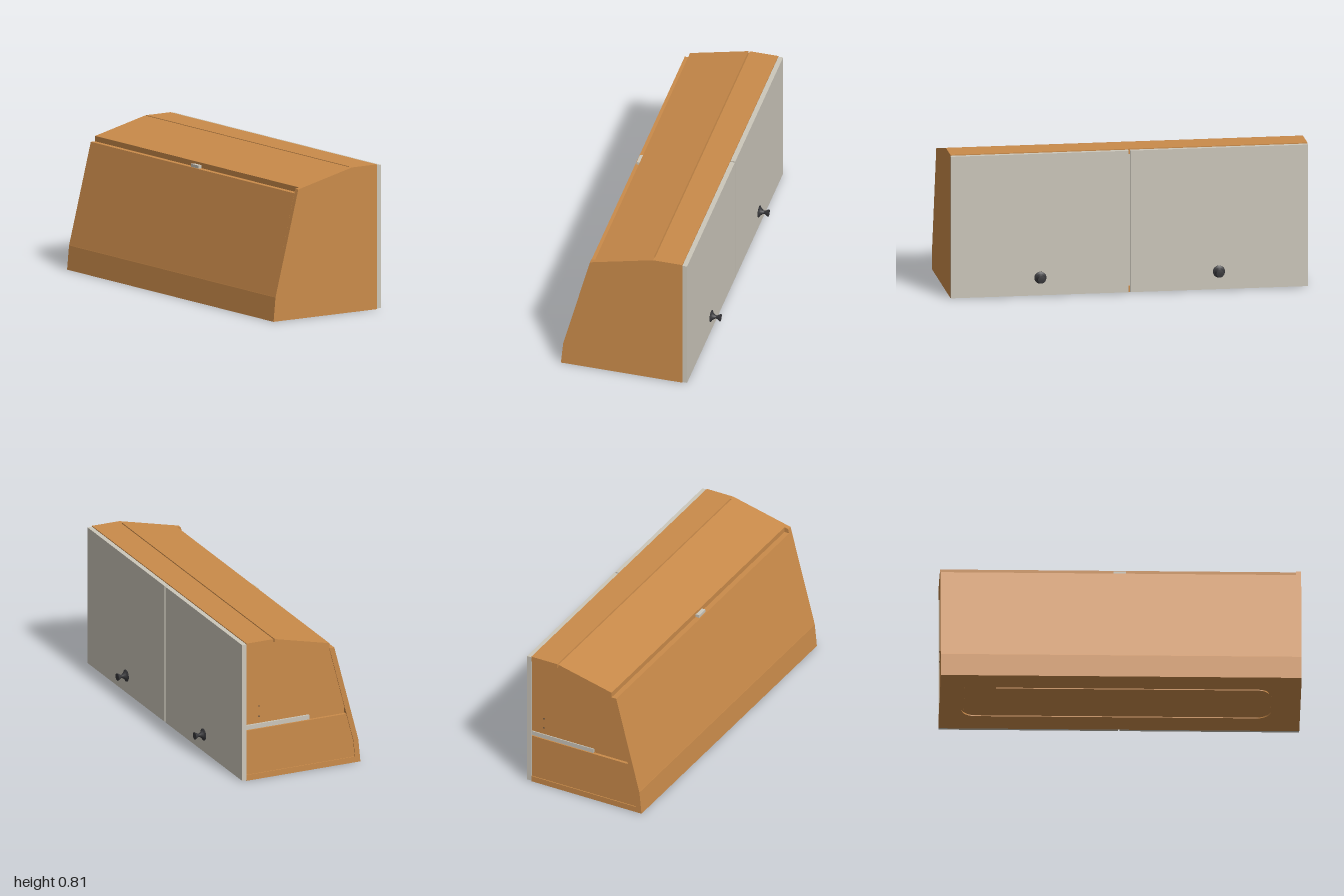
import * as THREE from 'three';

export function createModel() {
  const mat = (name, hex) => {
    const m = new THREE.MeshStandardMaterial({ color: hex });
    m.name = name;
    return m;
  };
  const wood = mat('wood', 0xca8b4a);
  const paint = mat('paintedBeige', 0xccc7bb);
  const iron = mat('darkIron', 0x37373a);

  const group = new THREE.Group();
  const add = (name, geo, material) => {
    const mesh = new THREE.Mesh(geo, material);
    mesh.name = name;
    group.add(mesh);
    return mesh;
  };
  const toShape = (pts) => new THREE.Shape(pts.map(([x, y]) => new THREE.Vector2(x, y)));
  // Cross-section in x and y, drawn out along z
  const profile = (name, pts, z0 = -1, z1 = 0.972, material = wood) => {
    const geo = new THREE.ExtrudeGeometry(toShape(pts), { depth: z1 - z0, bevelEnabled: false });
    return add(name, geo.translate(0, 0, z0), material);
  };
  // Box from its two opposite corners
  const box = (name, a, b, material) => {
    const geo = new THREE.BoxGeometry(b[0] - a[0], b[1] - a[1], b[2] - a[2]);
    return add(name, geo.translate((a[0] + b[0]) / 2, (a[1] + b[1]) / 2, (a[2] + b[2]) / 2), material);
  };

  // Full end panel at +z
  profile('endPanel', [[-0.39, 0], [0.308, 0], [0.308, 0.815], [0.14, 0.815], [-0.223, 0.728], [-0.377, 0.135]], 0.972, 1);

  // Long panels: lower back, sloped back, sloped top and flat top with a V seam
  profile('lowerBackPanel', [[-0.39, 0], [-0.36, 0], [-0.347, 0.133], [-0.377, 0.135]]);
  profile('slopedBackPanel', [[-0.376, 0.138], [-0.377, 0.135], [-0.347, 0.133], [-0.2, 0.703], [-0.23, 0.703]]);
  profile('slopedTopPanel', [[-0.2, 0.7335], [-0.2, 0.703], [0.14, 0.785], [0.136, 0.814]]);
  profile('flatTopPanel', [[0.144, 0.815], [0.14, 0.785], [0.308, 0.785], [0.308, 0.815]]);
  box('topCatch', [-0.222, 0.703, -0.04], [-0.2, 0.72, 0.03], paint);

  // Inset end panel at -z, split by a horizontal channel
  profile('lowerInsetEnd', [[-0.36, 0.034], [0.308, 0.034], [0.308, 0.295], [-0.305, 0.295], [-0.347, 0.133]], -0.995, -0.965);
  profile('upperInsetEnd', [[-0.296, 0.33], [0.308, 0.33], [0.308, 0.785], [0.14, 0.785], [-0.2, 0.703]], -0.995, -0.965);
  box('channelBack', [-0.3, 0.29, -0.978], [0.308, 0.335, -0.966], wood);
  box('channelRail', [-0.08, 0.298, -0.992], [0.308, 0.324, -0.977], paint);
  for (const y of [0.37, 0.43]) {
    const pin = new THREE.CylinderGeometry(0.004, 0.004, 0.004, 12).rotateX(Math.PI / 2);
    add('pinHole', pin.translate(0.23, y, -0.995), iron);
  }

  // Floor with a routed groove in its underside
  box('floorPanel', [-0.36, 0.008, -1], [0.308, 0.034, 0.972], wood);
  const route = new THREE.Path();
  route.moveTo(-0.225, -0.69);
  route.lineTo(-0.225, 0.76);
  route.absarc(-0.155, 0.76, 0.07, Math.PI, Math.PI / 2, true);
  route.lineTo(0.07, 0.83);
  route.absarc(0.07, 0.76, 0.07, Math.PI / 2, 0, true);
  route.lineTo(0.14, -0.8);
  route.absarc(0.07, -0.8, 0.07, 0, -Math.PI / 2, true);
  route.lineTo(-0.355, -0.87);
  const line = route.getPoints(8).filter((p, i, all) => i === 0 || p.distanceTo(all[i - 1]) > 1e-4);
  const offset = (d) => line.map((p, i) => {
    const t = line[Math.min(i + 1, line.length - 1)].clone().sub(line[Math.max(i - 1, 0)]).normalize();
    return new THREE.Vector2(p.x - t.y * d, p.y + t.x * d);
  });
  const underside = toShape([[-0.36, -1], [0.308, -1], [0.308, 0.972], [-0.36, 0.972]]);
  underside.holes.push(new THREE.Path([...offset(0.006), ...offset(-0.006).reverse()]));
  const plate = new THREE.ExtrudeGeometry(underside, { depth: 0.008, bevelEnabled: false });
  add('groovedUnderside', plate.rotateX(Math.PI / 2).translate(0, 0.008, 0), wood);

  // Two doors with turned knobs, and the divider behind their gap
  box('divider', [0.27, 0.034, -0.015], [0.305, 0.785, 0.015], paint);
  const knobProfile = [[0, 0], [0.034, 0], [0.034, 0.003], [0.026, 0.007], [0.023, 0.008],
    [0.009, 0.027], [0.009, 0.033], [0.021, 0.053], [0.021, 0.056], [0, 0.056]];
  for (const s of [-1, 1]) {
    const z = [s * 0.005, s].sort((a, b) => a - b);
    box('door', [0.308, 0.004, z[0]], [0.335, 0.81, z[1]], paint);
    const knob = new THREE.LatheGeometry(knobProfile.map(([r, h]) => new THREE.Vector2(r, h)), 24);
    add('knob', knob.rotateZ(-Math.PI / 2).translate(0.335, 0.105, s * 0.5), iron);
  }
  return group;
}
